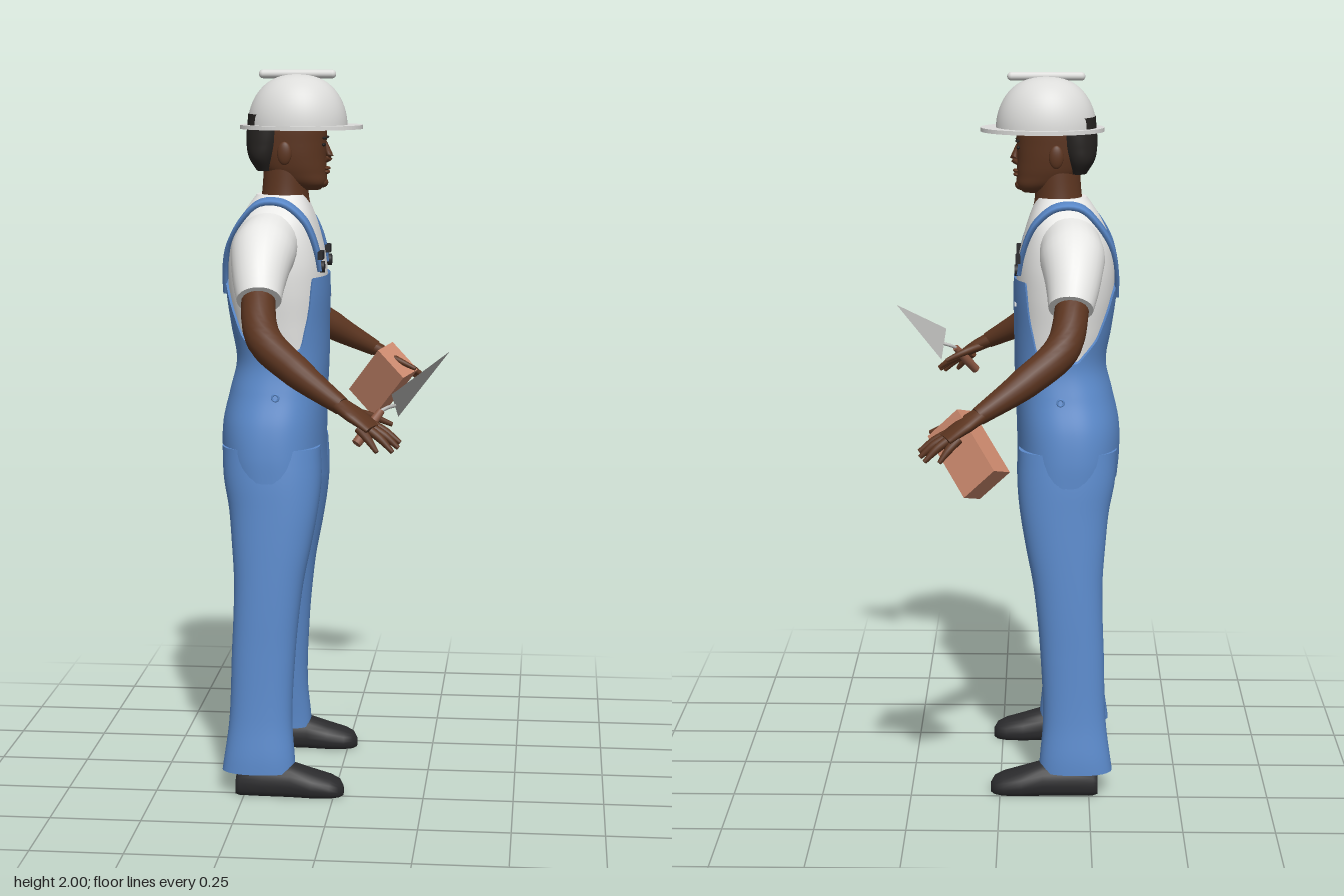
import * as THREE from 'three';

const ZC = 0.013; // the body's centre line, the figure looks along +x
const mat = (name, color, side = THREE.FrontSide) => {
  const m = new THREE.MeshStandardMaterial({ color, side });
  m.name = name;
  return m;
};
const V = (x, y, z) => new THREE.Vector3(x, y, z);

// Skin through a list of rings, capped at both ends, wound outwards
function loft(rings) {
  const n = rings[0].length, pos = [], idx = [];
  const add = (p) => pos.push(p.x, p.y, p.z) / 3 - 1;
  rings.forEach((ring) => ring.forEach(add));
  for (let r = 0; r < rings.length - 1; r++) {
    for (let i = 0; i < n; i++) {
      const j = (i + 1) % n, a = r * n + i, b = r * n + j;
      idx.push(a, a + n, b, b, a + n, b + n);
    }
  }
  [rings[0], rings[rings.length - 1]].forEach((ring, k) => {
    const c = add(ring.reduce((s, p) => s.add(p), V(0, 0, 0)).divideScalar(n));
    ring.forEach(add);
    for (let i = 0; i < n; i++) {
      const a = c + 1 + i, b = c + 1 + ((i + 1) % n);
      k ? idx.push(c, b, a) : idx.push(c, a, b);
    }
  });
  let vol = 0;
  const at = (i) => V(pos[3 * i], pos[3 * i + 1], pos[3 * i + 2]);
  for (let t = 0; t < idx.length; t += 3) vol += at(idx[t]).dot(at(idx[t + 1]).cross(at(idx[t + 2])));
  if (vol < 0) idx.reverse();
  const g = new THREE.BufferGeometry();
  g.setAttribute('position', new THREE.Float32BufferAttribute(pos, 3));
  g.setIndex(idx);
  g.computeVertexNormals();
  return g;
}

// Upright body from rows [y, back x, front x, inner z, outer z], smoothly interpolated
function upright(rows, exponent) {
  const curve = new THREE.CubicInterpolant(new Float32Array(rows.map((r) => r[0])),
    new Float32Array(rows.flatMap((r) => r.slice(1))), 4);
  const pw = (c) => Math.sign(c) * Math.abs(c) ** (2 / exponent);
  const point = (a, y, grow = 0) => {
    const [xb, xf, z0, z1] = curve.evaluate(y);
    return V((xb + xf) / 2 + ((xf - xb) / 2 + grow) * pw(Math.cos(a)), y,
      (z0 + z1) / 2 + ((z1 - z0) / 2 + grow) * pw(Math.sin(a)));
  };
  const surfaceX = (y, z, dir) => {
    const [xb, xf, , z1] = curve.evaluate(y);
    const k = Math.max(0, 1 - Math.abs(z / z1) ** exponent) ** (1 / exponent);
    return (xb + xf) / 2 + dir * ((xf - xb) / 2) * k;
  };
  const skin = (y0, top, grow = 0, n = 48, steps = 36) => {
    const rings = [];
    for (let s = 0; s <= steps; s++) {
      rings.push(Array.from({ length: n }, (_, i) => {
        const a = (i / n) * Math.PI * 2, y1 = typeof top === 'function' ? top(a) : top;
        return point(a, y0 + ((y1 - y0) * s) / steps, grow);
      }));
    }
    return loft(rings);
  };
  return { surfaceX, skin };
}

// Limb along a curve; radii are [horizontal, vertical] pairs spread evenly
function limb(points, radii, steps = 16, n = 16) {
  const curve = new THREE.CatmullRomCurve3(points.map((p) => V(...p)));
  const rings = [];
  for (let s = 0; s <= steps; s++) {
    const t = s / steps, k = t * (radii.length - 1), i = Math.min(Math.floor(k), radii.length - 2), f = k - i;
    const [ra, rb] = [0, 1].map((q) => radii[i][q] * (1 - f) + radii[i + 1][q] * f);
    const c = curve.getPoint(t), d = curve.getTangent(t);
    const u = V(0, 1, 0).cross(d).normalize(), v = d.clone().cross(u);
    rings.push(Array.from({ length: n }, (_, j) => {
      const a = (j / n) * Math.PI * 2;
      return c.clone().addScaledVector(u, Math.cos(a) * ra).addScaledVector(v, Math.sin(a) * rb);
    }));
  }
  return loft(rings);
}

export function createModel() {
  const model = new THREE.Group();
  const denim = mat('denim blue', 0x5b8acb), shirt = mat('shirt white', 0xeeeeec), skin = mat('skin brown', 0x5c3520);
  const helmet = mat('helmet white', 0xdcdcda, THREE.DoubleSide), black = mat('shoe black', 0x2a2a2c);
  const hair = mat('hair', 0x262321), clay = mat('brick clay', 0xc9876c);
  const steel = mat('steel', 0xb4b4b2, THREE.DoubleSide), wood = mat('handle wood', 0x8a5742);
  const body = new THREE.Group(); // everything on the centre line
  body.name = 'worker';
  body.position.z = ZC;
  model.add(body);
  const put = (name, geo, m, parent = body) => {
    const mesh = new THREE.Mesh(geo, m);
    mesh.name = name;
    parent.add(mesh);
    return mesh;
  };
  const blob = (name, m, p, r, parent = body) => {
    const b = put(name, new THREE.SphereGeometry(1, 20, 14), m, parent);
    b.position.set(...p);
    b.scale.set(...r);
    return b;
  };

  // Torso: shirt, and overalls as a shell cut low at the sides
  const torso = upright([
    [0.87, -0.318, -0.05, 0.215], [0.95, -0.325, -0.052, 0.213], [1.03, -0.323, -0.05, 0.202],
    [1.12, -0.303, -0.047, 0.176], [1.2, -0.285, -0.043, 0.16], [1.3, -0.3, -0.042, 0.168],
    [1.4, -0.313, -0.04, 0.18], [1.48, -0.312, -0.045, 0.182], [1.55, -0.298, -0.06, 0.17],
    [1.6, -0.275, -0.075, 0.142], [1.64, -0.25, -0.09, 0.095], [1.66, -0.235, -0.098, 0.076],
  ].map(([y, b, f, h]) => [y, b, f, -h, h]), 2.4);
  put('shirt', torso.skin(1.1, 1.66), shirt);
  const cut = [[0, 1.44], [0.75, 1.44], [0.86, 1.34], [1.08, 1.245], [1.5, 1.21], [1.9, 1.22],
    [2.3, 1.28], [2.7, 1.4], [3.2, 1.45]];
  put('overallsTop', torso.skin(0.88, (angle) => {
    const a = Math.min(angle, Math.PI * 2 - angle), i = cut.findIndex((c) => c[0] > a);
    const [p, q] = [cut[i - 1], cut[i]];
    return p[1] + ((q[1] - p[1]) * (a - p[0])) / (q[0] - p[0]);
  }, 0.007, 120), denim);
  const tag = put('pocketTag', new THREE.BoxGeometry(0.006, 0.01, 0.024), shirt);
  tag.position.set(torso.surfaceX(1.37, 0.075, 1) + 0.008, 1.37, -0.075);

  const leg = upright([
    [0.07, -0.315, -0.11, 0.152, 0.275], [0.1, -0.31, -0.112, 0.15, 0.274], [0.2, -0.297, -0.12, 0.138, 0.262],
    [0.4, -0.29, -0.112, 0.115, 0.25], [0.5, -0.286, -0.103, 0.103, 0.246], [0.6, -0.285, -0.09, 0.088, 0.241],
    [0.7, -0.292, -0.07, 0.066, 0.235], [0.8, -0.302, -0.053, 0.036, 0.228], [0.88, -0.318, -0.046, 0.002, 0.222],
    [0.97, -0.322, -0.05, 0, 0.21],
  ], 2.3);
  const legGeo = leg.skin(0.065, 0.97);
  const shoeRings = [[-0.275, 0.03, 0.05], [-0.262, 0.045, 0.075], [-0.2, 0.05, 0.09], [-0.12, 0.052, 0.09],
    [-0.06, 0.057, 0.07], [-0.01, 0.052, 0.055], [0.015, 0.038, 0.043], [0.026, 0.012, 0.025]];
  const shoeGeo = loft(shoeRings.map(([x, hz, h]) => Array.from({ length: 24 }, (_, i) => {
    const a = (i / 24) * Math.PI * 2;
    return V(x, Math.max(0, h * (0.35 + 0.65 * Math.sin(a))), 0.22 + hz * Math.cos(a));
  })));

  // Arm, hand and sleeve, made for +z
  const sleeveGeo = limb([[-0.19, 1.535, 0.11], [-0.195, 1.51, 0.2], [-0.195, 1.45, 0.275], [-0.19, 1.4, 0.325]],
    [[0.085, 0.085], [0.088, 0.088], [0.072, 0.074], [0.06, 0.056]], 16, 28);
  const armGeo = limb([[-0.19, 1.45, 0.26], [-0.19, 1.38, 0.34], [-0.165, 1.305, 0.41], [-0.07, 1.23, 0.475],
    [0.05, 1.155, 0.54]], [[0.045, 0.045], [0.046, 0.046], [0.047, 0.048], [0.042, 0.042], [0.026, 0.024]], 24, 20);
  const palmGeo = limb([[0.035, 1.163, 0.532], [0.085, 1.135, 0.553], [0.135, 1.102, 0.573]],
    [[0.025, 0.022], [0.042, 0.019], [0.04, 0.012]], 10, 16);
  const fingers = [
    [[0.07, 1.14, 0.53], [0.12, 1.125, 0.5], [0.178, 1.1, 0.487]],
    [[0.12, 1.115, 0.545], [0.165, 1.092, 0.548], [0.203, 1.065, 0.555]],
    [[0.12, 1.11, 0.56], [0.165, 1.085, 0.57], [0.2, 1.055, 0.577]],
    [[0.12, 1.105, 0.575], [0.155, 1.08, 0.588], [0.187, 1.048, 0.6]],
    [[0.1, 1.105, 0.585], [0.125, 1.08, 0.603], [0.148, 1.05, 0.617]],
  ].map((p) => limb(p, [[0.014, 0.013], [0.011, 0.011], [0.006, 0.006]], 8, 10));

  for (const s of [1, -1]) {
    const side = s > 0 ? 'right' : 'left';
    const half = new THREE.Group();
    half.name = side + 'Side';
    half.scale.z = s;
    body.add(half);
    put('trouserLeg', legGeo, denim, half);
    put('shoe', shoeGeo, black, half);
    put('sleeve', sleeveGeo, shirt, half);
    put('arm', armGeo, skin, half);
    put('palm', palmGeo, skin, half);
    fingers.forEach((f, i) => put(i ? 'finger' : 'thumb', f, skin, half));

    // Strap from the bib over the shoulder to the middle of the back
    const path = [];
    for (const [y, z] of [[1.46, 0.1], [1.51, 0.104], [1.56, 0.108], [1.6, 0.112]])
      path.push(V(torso.surfaceX(y, z, 1) + 0.008, y, z));
    path.push(V(-0.15, 1.642, 0.115), V(-0.215, 1.642, 0.112));
    for (const [y, z] of [[1.595, 0.1], [1.53, 0.078], [1.46, 0.055], [1.39, 0.035]])
      path.push(V(torso.surfaceX(y, z, -1) - 0.008, y, z));
    const curve = new THREE.CatmullRomCurve3(path), rings = [];
    for (let i = 0; i <= 40; i++) {
      const c = curve.getPoint(i / 40), d = curve.getTangent(i / 40);
      const out = V(-d.y, d.x, 0).normalize().multiplyScalar(0.006);
      // tilt the band outward and down with the shoulder
      const w = V(0, -0.004, 0.02);
      rings.push([[1, 1], [1, -1], [-1, -1], [-1, 1]].map(([a, b]) =>
        c.clone().addScaledVector(w, a).addScaledVector(out, b)));
    }
    put('strap', loft(rings), denim, half);
    const bx = torso.surfaceX(1.48, 0.1, 1) + 0.012;
    const buckle = put('buckle', new THREE.BoxGeometry(0.014, 0.022, 0.05), black, half);
    buckle.position.set(bx, 1.5, 0.101);
    const clip = put('buckleClip', new THREE.CylinderGeometry(0.016, 0.016, 0.012, 16), black, half);
    clip.rotation.z = Math.PI / 2;
    clip.position.set(bx + 0.004, 1.468, 0.1);
    const button = put('hipButton', new THREE.TorusGeometry(0.009, 0.003, 8, 16), denim, half);
    button.position.set(-0.165, 1.115, 0.187);

    // Paired face parts
    blob('ear', skin, [-0.15, 1.775, 0.078], [0.02, 0.032, 0.01], half);
    blob('eye', hair, [-0.046, 1.797, 0.031], [0.005, 0.005, 0.013], half);
    blob('brow', hair, [-0.044, 1.815, 0.033], [0.006, 0.004, 0.019], half);
  }

  // Neck, head and hair
  const even = (rows) => rows.map(([y, b, f, h]) => [y, b, f, -h, h]);
  put('neck', upright(even([[1.6, -0.235, -0.08, 0.078], [1.66, -0.222, -0.092, 0.068],
    [1.76, -0.215, -0.085, 0.062]]), 2).skin(1.6, 1.76), skin);
  put('head', upright(even([[1.672, -0.11, -0.06, 0.025], [1.685, -0.15, -0.045, 0.044], [1.72, -0.215, -0.042, 0.062],
    [1.76, -0.24, -0.043, 0.071], [1.8, -0.25, -0.042, 0.075], [1.85, -0.25, -0.042, 0.077],
    [1.9, -0.235, -0.06, 0.07]]), 2.2).skin(1.672, 1.9), skin);
  put('hair', upright(even([[1.725, -0.235, -0.185, 0.055], [1.76, -0.256, -0.172, 0.077],
    [1.8, -0.263, -0.155, 0.082], [1.88, -0.258, -0.14, 0.082]]), 2.2).skin(1.725, 1.88), hair);
  put('nose', limb([[-0.048, 1.805, 0], [-0.038, 1.78, 0.0005], [-0.034, 1.762, 0], [-0.046, 1.75, 0]],
    [[0.008, 0.006], [0.01, 0.008], [0.017, 0.01], [0.01, 0.006]], 10, 12), skin);
  blob('upperLip', skin, [-0.04, 1.731, 0], [0.009, 0.005, 0.024]);
  blob('lowerLip', skin, [-0.041, 1.721, 0], [0.009, 0.006, 0.021]);
  blob('chin', skin, [-0.055, 1.692, 0], [0.018, 0.015, 0.024]);

  // Hard hat: open dome, oval brim and ridge
  const dome = put('helmetDome', new THREE.LatheGeometry(Array.from({ length: 17 }, (_, i) => {
    const a = (i / 16) * Math.PI / 2;
    return new THREE.Vector2(Math.cos(a) ** 0.85, Math.sin(a));
  }), 48), helmet);
  dome.scale.set(0.138, 0.143, 0.122);
  dome.position.set(-0.122, 1.845, 0);
  const oval = new THREE.Shape().absellipse(-0.112, 0, 0.17, 0.142, 0, Math.PI * 2);
  oval.holes.push(new THREE.Path().absellipse(-0.122, 0, 0.132, 0.116, 0, Math.PI * 2, true));
  const brim = put('helmetBrim', new THREE.ExtrudeGeometry(oval, { depth: 0.011, bevelEnabled: false, curveSegments: 48 }), helmet);
  brim.rotation.x = -Math.PI / 2;
  brim.position.y = 1.839;
  const ridge = put('helmetRidge', new THREE.CapsuleGeometry(0.012, 0.19, 6, 14), helmet);
  ridge.rotation.z = Math.PI / 2;
  ridge.position.set(-0.122, 1.988, 0);

  // Trowel in the right hand
  const trowel = new THREE.Group();
  trowel.name = 'trowel';
  model.add(trowel);
  const blade = new THREE.BufferGeometry().setFromPoints([V(0.322, 1.283, 0.428), V(0.18, 1.188, 0.558), V(0.19, 1.112, 0.452)]);
  blade.computeVertexNormals();
  put('trowelBlade', blade, steel, trowel);
  put('trowelShank', limb([[0.188, 1.152, 0.506], [0.165, 1.145, 0.507], [0.145, 1.135, 0.518]],
    [[0.005, 0.005], [0.005, 0.005]], 8, 10), steel, trowel);
  put('trowelHandle', limb([[0.15, 1.138, 0.514], [0.12, 1.098, 0.54], [0.09, 1.06, 0.566]],
    [[0.01, 0.01], [0.014, 0.014], [0.013, 0.013]], 8, 14), wood, trowel);

  // Brick under the left hand
  const brick = put('brick', new THREE.BoxGeometry(0.2, 0.115, 0.073), clay, model);
  const e1 = V(0.1, 0.14, 0.11).normalize(), e3 = e1.clone().cross(V(-0.08, 0.08, -0.03)).normalize();
  brick.quaternion.setFromRotationMatrix(new THREE.Matrix4().makeBasis(e1, e3.clone().cross(e1), e3));
  brick.position.set(0.075, 1.057, -0.535);
  return model;
}
